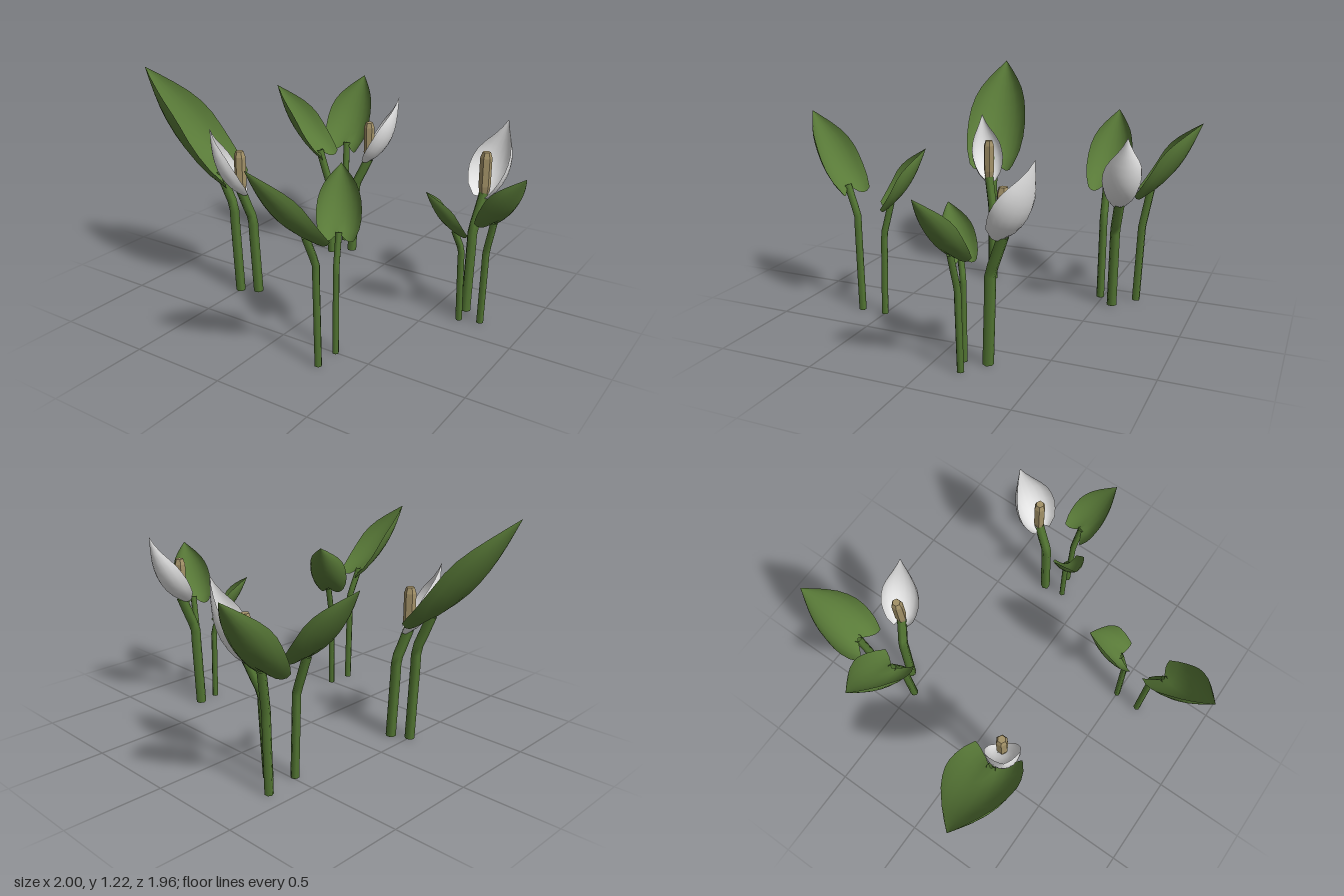
import * as THREE from 'three';

const V = (p) => new THREE.Vector3(...p);
const material = (name, color) => {
  const m = new THREE.MeshStandardMaterial({ color, side: THREE.DoubleSide });
  m.name = name;
  return m;
};

// Linear interpolation through evenly spaced values
const profile = (values, t) => {
  const f = t * (values.length - 1);
  const i = Math.min(Math.floor(f), values.length - 2);
  return THREE.MathUtils.lerp(values[i], values[i + 1], f - i);
};

const LEAF = { widths: [0.74, 0.92, 0.99, 1, 0.96, 0.87, 0.73, 0.52, 0.27, 0],
  arc: [0.95, 1.4, 1.3], sag: 0.09, lobe: 0.15 };
const SPATHE = { widths: [0.34, 0.72, 0.9, 1, 1, 0.92, 0.72, 0.45, 0.2, 0],
  arc: [1.7, 1.5, 1.3], sag: 0.15, lobe: 0.03 };

// Cupped blade from its base to its tip: each cross-section is an arc
function bladeGeometry(base, tip, halfWidth, { widths, arc, sag, lobe }) {
  const rows = 9, cols = 10;
  const axis = tip.clone().sub(base);
  const length = axis.length();
  const dir = axis.clone().normalize();
  const side = new THREE.Vector3(0, 1, 0).cross(dir).normalize();
  const normal = dir.clone().cross(side);
  const positions = [], index = [];
  for (let r = 0; r <= rows; r++) {
    const t = r / rows;
    const w = halfWidth * profile(widths, t);
    const a = profile(arc, t);
    const widest = Math.sin(Math.min(a, Math.PI / 2));
    const drop = sag * length * Math.sin(Math.PI * Math.pow(t, 0.8));
    for (let c = 0; c <= cols; c++) {
      const s = (c / cols) * 2 - 1;
      const back = lobe * Math.pow(1 - t, 3) * Math.sin(Math.abs(s) * 2.2);
      const p = base.clone()
        .addScaledVector(axis, t - back)
        .addScaledVector(side, (w * Math.sin(a * s)) / widest)
        .addScaledVector(normal, (w * (1 - Math.cos(a * s))) / widest - drop);
      positions.push(p.x, p.y, p.z);
      if (r < rows && c < cols) {
        const i = r * (cols + 1) + c, j = i + cols + 1;
        index.push(i, i + 1, j, i + 1, j + 1, j);
      }
    }
  }
  const g = new THREE.BufferGeometry();
  g.setAttribute('position', new THREE.Float32BufferAttribute(positions, 3));
  g.setIndex(index);
  g.computeVertexNormals();
  return g;
}

export function createModel() {
  const model = new THREE.Group();
  const leafGreen = material('leaf green', 0x597a38);
  const stemGreen = material('stem green', 0x527532);
  const white = material('petal white', 0xe4e4e4);
  const tan = material('spadix tan', 0xa39268);

  const add = (parent, name, geometry, mat) => {
    const mesh = new THREE.Mesh(geometry, mat);
    mesh.name = name;
    parent.add(mesh);
    return mesh;
  };

  // Upright stalk that bends over towards the blade
  const addStem = (parent, foot, bend, top, radius) => {
    const f = V(foot), b = V(bend), t = V(top);
    const path = new THREE.CatmullRomCurve3([
      f, f.clone().lerp(b, 0.85), b, b.clone().lerp(t, 0.3), t]);
    add(parent, 'stem', new THREE.TubeGeometry(path, 12, radius, 6), stemGreen);
    const cap = add(parent, 'stemFoot', new THREE.CircleGeometry(radius, 6), stemGreen);
    cap.position.copy(f);
    cap.rotation.x = Math.PI / 2;
  };

  // Leaves: foot, bend and top of the stalk, tip, half width, stalk radius
  const leaves = [
    [[-0.4, 0, -0.68], [-0.405, 0.42, -0.695], [-0.42, 0.63, -0.73], [-0.45, 1, -0.98], 0.14, 0.022],
    [[-0.37, 0, -0.485], [-0.385, 0.44, -0.485], [-0.45, 0.64, -0.48], [-0.74, 1, -0.46], 0.122, 0.022],
    [[-0.5, 0, 0.23], [-0.52, 0.5, 0.235], [-0.59, 0.69, 0.255], [-1, 1.22, 0.345], 0.172, 0.026],
    [[0.31, 0, 0.64], [0.308, 0.53, 0.65], [0.295, 0.68, 0.71], [0.19, 1.04, 0.98], 0.118, 0.019],
    [[0.315, 0, 0.5], [0.312, 0.44, 0.49], [0.3, 0.61, 0.45], [0.21, 0.89, 0.29], 0.106, 0.017],
    [[0.665, 0, -0.13], [0.66, 0.4, -0.125], [0.63, 0.5, -0.1], [0.52, 0.72, 0.015], 0.083, 0.017],
    [[0.77, 0, -0.16], [0.782, 0.4, -0.155], [0.82, 0.575, -0.14], [1, 0.855, -0.055], 0.106, 0.018],
  ];
  for (const [foot, bend, top, tip, halfWidth, radius] of leaves) {
    const plant = new THREE.Group();
    plant.name = 'leafStalk';
    addStem(plant, foot, bend, top, radius);
    add(plant, 'leaf', bladeGeometry(V(top), V(tip), halfWidth, LEAF), leafGreen);
    model.add(plant);
  }

  // Flowers: foot, bend and top of the stalk, tip of the spathe, half width
  const flowers = [
    [[-0.28, 0, -0.575], [-0.26, 0.43, -0.585], [-0.192, 0.595, -0.62], [-0.035, 0.975, -0.69], 0.1],
    [[0.65, 0, -0.245], [0.657, 0.45, -0.26], [0.677, 0.64, -0.33], [0.72, 1, -0.49], 0.112],
    [[-0.41, 0, 0.185], [-0.425, 0.43, 0.195], [-0.465, 0.595, 0.235], [-0.58, 0.945, 0.33], 0.09],
  ];
  // Blunt six-sided spike with flat facets
  const spike = [[0, 0], [0.024, 0], [0.031, 0.04], [0.031, 0.19], [0.021, 0.22], [0, 0.22]]
    .map(([x, y]) => new THREE.Vector2(x, y));
  const spikeGeometry = new THREE.LatheGeometry(spike, 6).toNonIndexed();
  spikeGeometry.computeVertexNormals();
  for (const [foot, bend, top, tip, halfWidth] of flowers) {
    const plant = new THREE.Group();
    plant.name = 'flower';
    addStem(plant, foot, bend, top, 0.027);
    const base = V(top);
    base.y -= 0.015;
    add(plant, 'spathe', bladeGeometry(base, V(tip), halfWidth, SPATHE), white);
    add(plant, 'spadix', spikeGeometry, tan).position.set(...top);
    model.add(plant);
  }
  return model;
}
